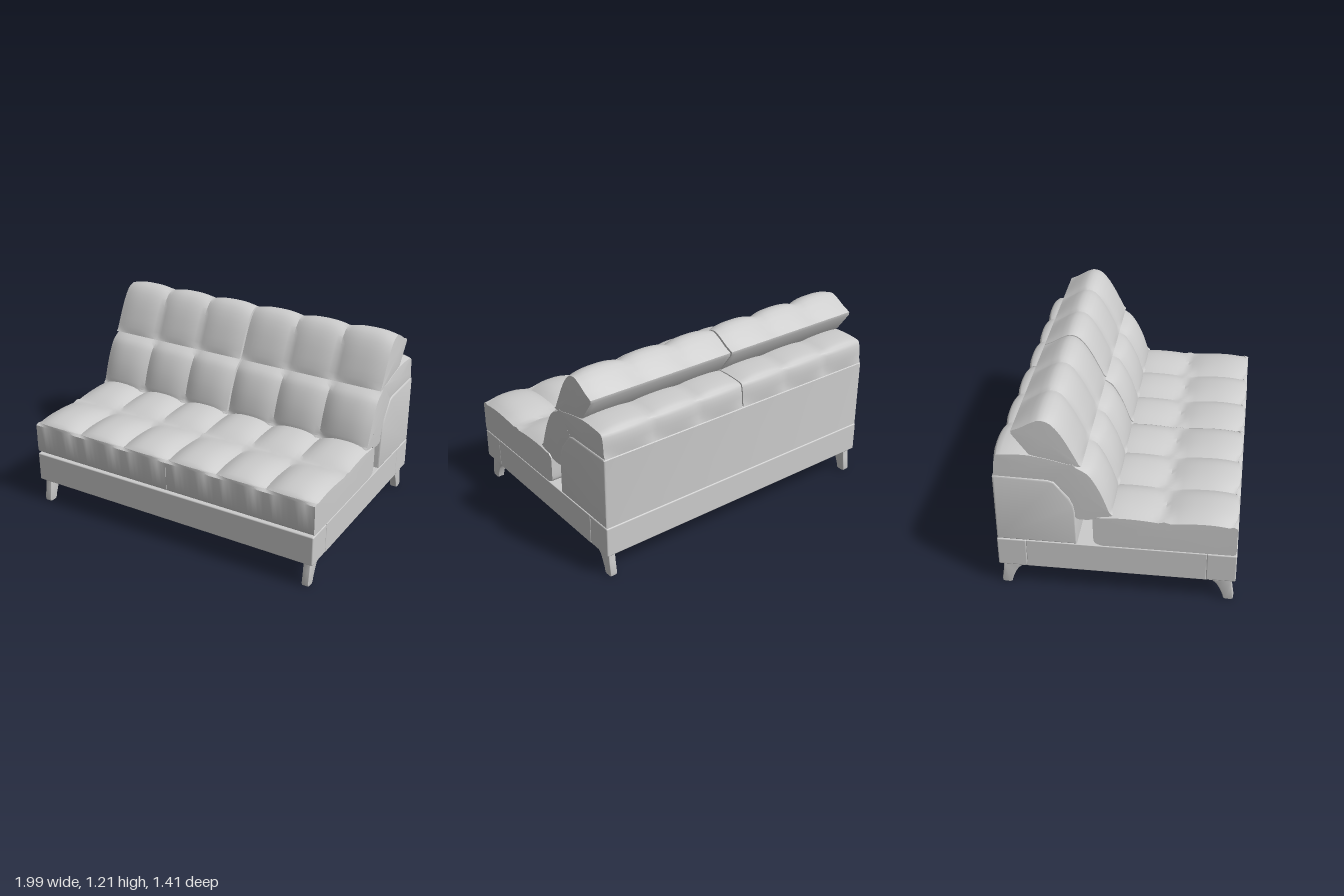
import * as THREE from 'three';
import { toCreasedNormals } from 'three/addons/utils/BufferGeometryUtils.js';
import { RoundedBoxGeometry } from 'three/addons/geometries/RoundedBoxGeometry.js';

const upholstery = new THREE.MeshStandardMaterial({ color: 0xcccccc });
upholstery.name = 'light grey';

function add(parent, name, geometry, x = 0, y = 0, z = 0) {
  const mesh = new THREE.Mesh(geometry, upholstery);
  mesh.name = name;
  mesh.position.set(x, y, z);
  parent.add(mesh);
  return mesh;
}

// Tufted cushion: a closed side profile of arcs ([z, y] points, front over top to back)
// swept along x; the puffed arcs sink in at each seam between tufts.
function tuftedCushion(arcs, x0, x1, tufts = 3, capPush = 0.008) {
  const ring = [];
  for (const { pts, puff = 0 } of arcs) {
    const curve = new THREE.SplineCurve(pts.map(p => new THREE.Vector2(...p)));
    const n = pts.length > 2 ? 14 : 1;
    for (let i = 0; i < n; i++) {
      const t = i / n, p = curve.getPoint(t), d = curve.getTangent(t);
      const depth = puff * Math.sqrt(Math.sin(Math.PI * t));
      ring.push({ z: p.x, y: p.y, dz: -d.y * depth, dy: d.x * depth });
    }
  }
  const steps = 10, stations = tufts * steps, n = ring.length;
  const positions = [], index = [];
  for (let s = 0; s <= stations; s++) {
    const u = Math.abs(2 * (s % steps) / steps - 1);
    const sink = Math.pow(u, 2.5);
    for (const p of ring) {
      positions.push(x0 + (x1 - x0) * s / stations, p.y + p.dy * sink, p.z + p.dz * sink);
    }
  }
  for (let s = 0; s < stations; s++) {
    for (let i = 0; i < n; i++) {
      const a = s * n + i, b = s * n + (i + 1) % n, c = a + n, d = b + n;
      index.push(a, c, b, b, c, d);
    }
  }
  // Slightly domed end caps
  const mid = key => (Math.min(...ring.map(p => p[key])) + Math.max(...ring.map(p => p[key]))) / 2;
  const left = positions.length / 3, right = left + 1, last = stations * n;
  positions.push(x0 - Math.min(capPush, 0.003), mid('y'), mid('z'), x1 + capPush, mid('y'), mid('z'));
  for (let i = 0; i < n; i++) {
    const j = (i + 1) % n;
    index.push(left, i, j, right, last + j, last + i);
  }
  const geometry = new THREE.BufferGeometry();
  geometry.setAttribute('position', new THREE.Float32BufferAttribute(positions, 3));
  geometry.setIndex(index);
  return toCreasedNormals(geometry, 0.6);
}

// Side profile in [z, y], extruded along x and centred on x = 0
function sideExtrude(points, width, bevel) {
  const shape = new THREE.Shape(points.map(([z, y]) => new THREE.Vector2(-z, y)));
  const geometry = new THREE.ExtrudeGeometry(shape, {
    depth: width - 2 * bevel, bevelEnabled: true, bevelSize: bevel,
    bevelThickness: bevel, bevelOffset: -bevel, bevelSegments: 3,
  });
  geometry.translate(0, 0, -(width - 2 * bevel) / 2);
  geometry.rotateY(Math.PI / 2);
  return toCreasedNormals(geometry, 0.6);
}

const seatArcs = [
  { pts: [[0.7, 0.38], [0.7, 0.55]] },
  { pts: [[0.7, 0.55], [0.692, 0.578], [0.62, 0.6], [0.52, 0.606], [0.39, 0.592], [0.28, 0.562]], puff: 0.042 },
  { pts: [[0.28, 0.562], [0.18, 0.592], [0.05, 0.606], [-0.06, 0.6], [-0.122, 0.578], [-0.13, 0.54]], puff: 0.042 },
  { pts: [[-0.13, 0.54], [-0.13, 0.41], [-0.118, 0.372], [-0.08, 0.356]] },
  { pts: [[-0.08, 0.356], [0.68, 0.356]] },
  { pts: [[0.68, 0.356], [0.694, 0.362], [0.7, 0.38]] },
];
const backArcs = [
  { pts: [[-0.015, 0.575], [-0.018, 0.62], [-0.05, 0.73], [-0.1, 0.83], [-0.15, 0.88], [-0.24, 0.915]], puff: 0.032 },
  { pts: [[-0.24, 0.915], [-0.35, 0.785]] },
  { pts: [[-0.35, 0.785], [-0.29, 0.65], [-0.235, 0.55], [-0.2, 0.532], [-0.12, 0.54], [-0.015, 0.575]] },
];
const headArcs = [
  { pts: [[-0.188, 0.9], [-0.205, 0.96], [-0.27, 1.1], [-0.335, 1.185], [-0.4, 1.21], [-0.46, 1.19], [-0.575, 1.11]], puff: 0.024 },
  { pts: [[-0.575, 1.11], [-0.573, 1.09]] },
  { pts: [[-0.573, 1.09], [-0.48, 0.96]] },
  { pts: [[-0.48, 0.96], [-0.24, 0.9]] },
  { pts: [[-0.24, 0.9], [-0.188, 0.9]] },
];
const rollArcs = [
  { pts: [[-0.24, 0.91], [-0.34, 0.945], [-0.48, 0.975], [-0.6, 0.976], [-0.675, 0.965], [-0.698, 0.93], [-0.702, 0.87], [-0.698, 0.8]], puff: 0.022 },
  { pts: [[-0.698, 0.8], [-0.35, 0.787]] },
  { pts: [[-0.35, 0.787], [-0.24, 0.91]] },
];

export function createModel() {
  const sofa = new THREE.Group();
  sofa.name = 'sofa';

  // Plinth, seamed near the front and back corners
  for (const s of [1, -1]) {
    add(sofa, s > 0 ? 'frontRail' : 'backRail', new RoundedBoxGeometry(1.985, 0.192, 0.175, 3, 0.008), 0, 0.254, s * 0.6175);
  }
  add(sofa, 'basePanel', new RoundedBoxGeometry(1.985, 0.192, 1.062, 3, 0.004), 0, 0.254, 0);

  // Back frame with sloping upper front
  add(sofa, 'backFrame', sideExtrude([
    [-0.228, 0.352], [-0.232, 0.58], [-0.24, 0.63], [-0.26, 0.68], [-0.345, 0.785],
    [-0.38, 0.797], [-0.69, 0.803], [-0.702, 0.795], [-0.702, 0.352],
  ], 1.985, 0.01));

  // Two cushion sets, mirrored about the middle seam
  const sets = [
    ['seatCushion', seatArcs, 0.001, 0.993, 0.002],
    ['backCushion', backArcs, 0.006, 0.985, 0.008],
    ['headrest', headArcs, 0.006, 0.982, 0.01],
    ['rearBolster', rollArcs, 0.004, 0.985, 0.01],
  ];
  for (const [name, arcs, inner, outer, push] of sets) {
    add(sofa, name + 'Left', tuftedCushion(arcs, inner, outer, 3, push));
    add(sofa, name + 'Right', tuftedCushion(arcs, -outer, -inner, 3, push));
  }

  // Curved blade legs with mounting plates
  const leg = sideExtrude([
    [0.68, 0.158], [0.685, 0.1], [0.697, 0.02], [0.693, 0.004], [0.682, 0], [0.648, 0],
    [0.638, 0.006], [0.63, 0.035], [0.612, 0.08], [0.592, 0.115], [0.57, 0.135], [0.565, 0.158],
  ], 0.045, 0.005);
  const plate = new THREE.BoxGeometry(0.14, 0.018, 0.05);
  const bracket = new THREE.BoxGeometry(0.045, 0.018, 0.14);
  for (const sx of [1, -1]) {
    for (const sz of [1, -1]) {
      const group = new THREE.Group();
      group.name = (sz > 0 ? 'front' : 'back') + (sx > 0 ? 'Left' : 'Right') + 'Leg';
      const blade = add(group, 'blade', leg, sx * 0.947);
      if (sz < 0) blade.rotation.y = Math.PI;
      add(group, 'crossPlate', plate, sx * 0.9, 0.149, sz * 0.645);
      add(group, 'sidePlate', bracket, sx * 0.947, 0.149, sz * 0.598);
      sofa.add(group);
    }
  }
  return sofa;
}
